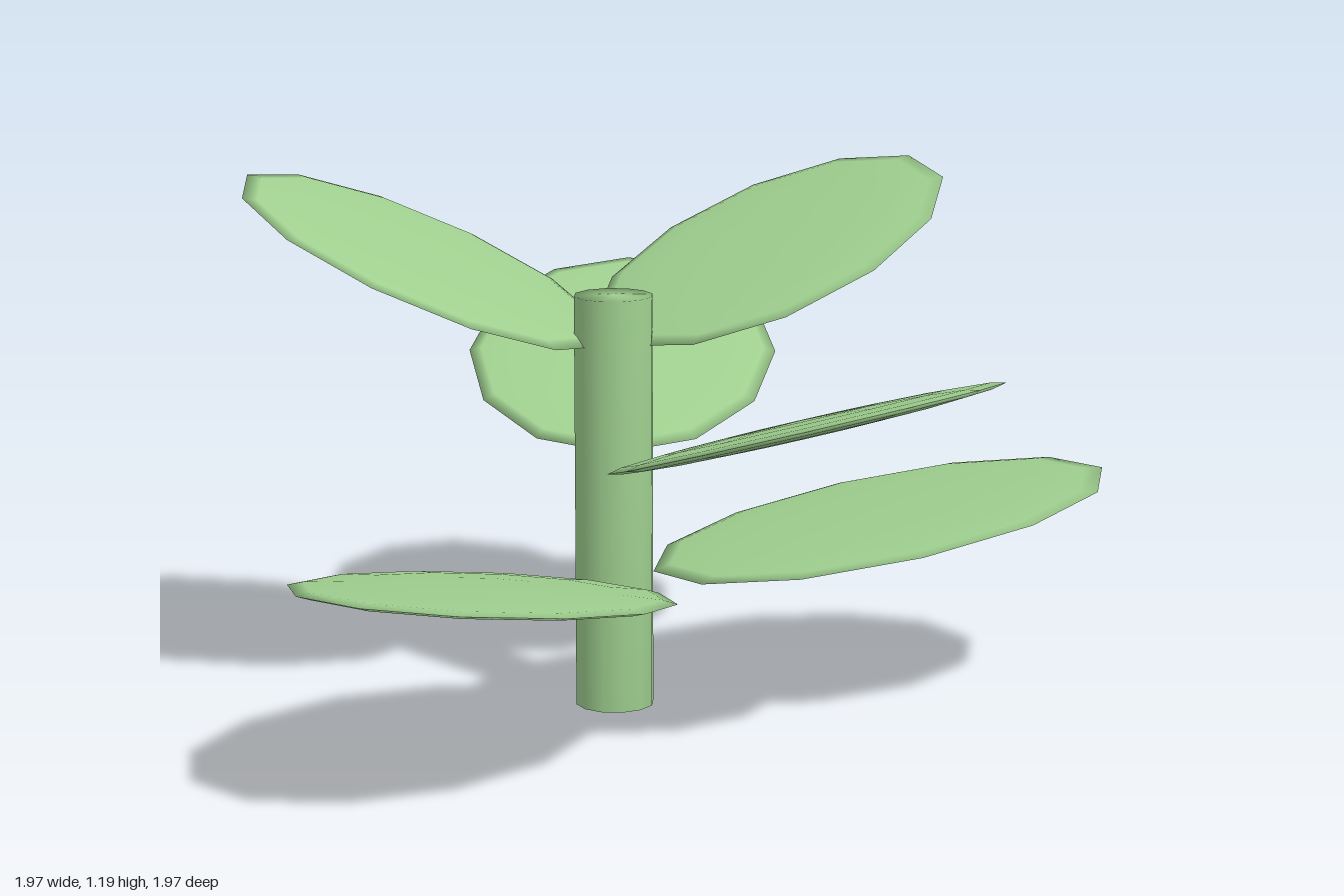
import * as THREE from 'three';
import { mergeVertices } from 'three/addons/utils/BufferGeometryUtils.js';

const STEM_X = -0.17, STEM_Z = 0.013;

// Three tiers of leaves, higher ones shorter and steeper.
// angles: compass direction of each leaf in the x-z plane, in degrees (0 = +x, 90 = +z)
const TIERS = [
  { y: 0.402, reach: 0.625, length: 0.543, width: 0.38, tilt: 10.3, angles: [0, 127] },
  { y: 0.717, reach: 0.547, length: 0.492, width: 0.367, tilt: 17.5, angles: [52, -77] },
  { y: 1.012, reach: 0.444, length: 0.457, width: 0.38, tilt: 23.3, angles: [205.5, -25] },
];
const LEAF_HALF_THICKNESS = 0.02;

export function createModel() {
  const model = new THREE.Group();
  model.name = 'plant';
  const green = new THREE.MeshStandardMaterial({ color: 0x9fcf8f });

  // Stem: caps share the side's normals for a softly rounded shade
  let stemGeo = new THREE.CylinderGeometry(0.09, 0.09, 0.95, 12);
  stemGeo.deleteAttribute('uv');
  stemGeo.deleteAttribute('normal');
  stemGeo = mergeVertices(stemGeo);
  stemGeo.computeVertexNormals();
  const stem = new THREE.Mesh(stemGeo, green);
  stem.name = 'stem';
  stem.position.set(STEM_X, 0.475, STEM_Z);
  model.add(stem);

  // Leaves: flattened twelve-sided lenses, tips raised away from the stem
  const leafGeo = new THREE.SphereGeometry(1, 12, 8);
  TIERS.forEach((tier, t) => {
    tier.angles.forEach((deg, i) => {
      const a = THREE.MathUtils.degToRad(deg);
      const leaf = new THREE.Mesh(leafGeo, green);
      leaf.name = `leafTier${t + 1}_${i + 1}`;
      leaf.scale.set(tier.length, LEAF_HALF_THICKNESS, tier.width);
      leaf.rotation.set(0, -a, THREE.MathUtils.degToRad(tier.tilt), 'YZX');
      leaf.position.set(STEM_X + tier.reach * Math.cos(a), tier.y, STEM_Z + tier.reach * Math.sin(a));
      model.add(leaf);
    });
  });
  return model;
}
